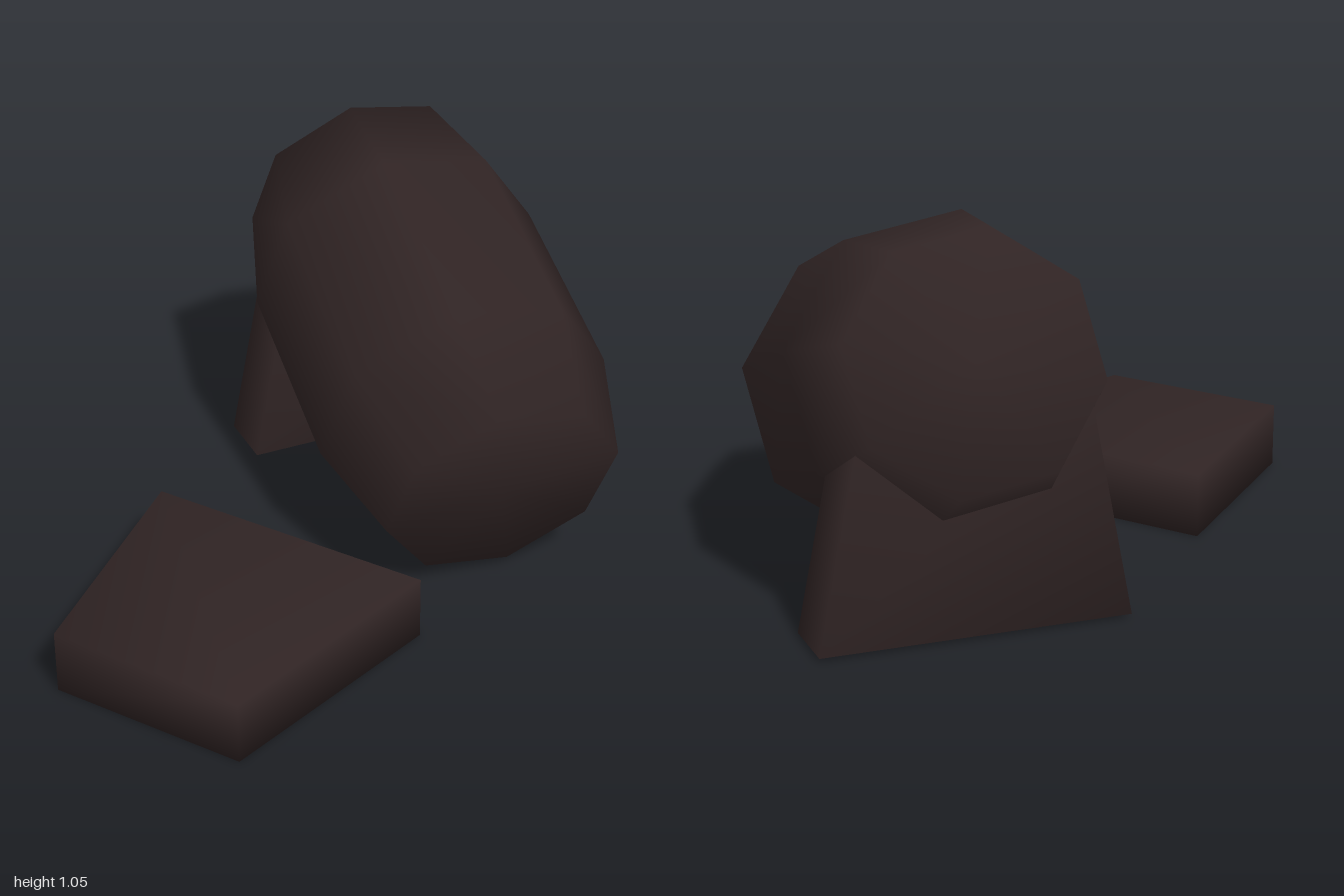
import * as THREE from 'three';

const rad = THREE.MathUtils.degToRad;

// Smooth-shaded four-sided prism; corners are [x, z], counter-clockwise seen from above
function prism(bottom, top, y0, y1) {
  const points = [];
  for (const [x, z] of bottom) points.push(x, y0, z);
  for (const [x, z] of top) points.push(x, y1, z);
  const index = [0, 2, 1, 0, 3, 2, 4, 5, 6, 4, 6, 7];
  for (let i = 0; i < 4; i++) {
    const j = (i + 1) % 4;
    index.push(i, j, j + 4, i, j + 4, i + 4);
  }
  const geometry = new THREE.BufferGeometry();
  geometry.setAttribute('position', new THREE.Float32BufferAttribute(points, 3));
  geometry.setIndex(index);
  geometry.computeVertexNormals();
  return geometry;
}

export function createModel() {
  const model = new THREE.Group();
  const darkBrown = new THREE.MeshStandardMaterial({ color: 0x302424 });
  darkBrown.name = 'darkBrown';

  const add = (name, geometry) => {
    const mesh = new THREE.Mesh(geometry, darkBrown);
    mesh.name = name;
    model.add(mesh);
    return mesh;
  };

  // Eight-sided barrel with narrowed ends, turned and tipped forward
  const profile = [[0, -0.597], [0.34, -0.597], [0.425, -0.288], [0.425, 0.288], [0.34, 0.597], [0, 0.597]]
    .map(([r, y]) => new THREE.Vector2(r, y));
  const barrel = add('barrel', new THREE.LatheGeometry(profile, 8, rad(12)).rotateX(Math.PI / 2));
  barrel.rotation.set(rad(20), rad(25), 0, 'YXZ');
  barrel.position.set(0.184, 0.538, -0.307);

  // Tapered foot under the raised rear end
  add('rearStand', prism(
    [[-0.423, -0.577], [-0.333, -0.418], [0.407, -0.825], [0.317, -0.984]],
    [[-0.318, -0.635], [-0.228, -0.476], [0.302, -0.767], [0.212, -0.926]],
    0.01, 0.62));

  // Separate low wedge-shaped block in front
  const outline = [[-0.55, 0.055], [-0.735, 0.74], [-0.22, 0.995], [0.21, 0.425]];
  add('frontBlock', prism(outline, outline, 0, 0.185));

  return model;
}
